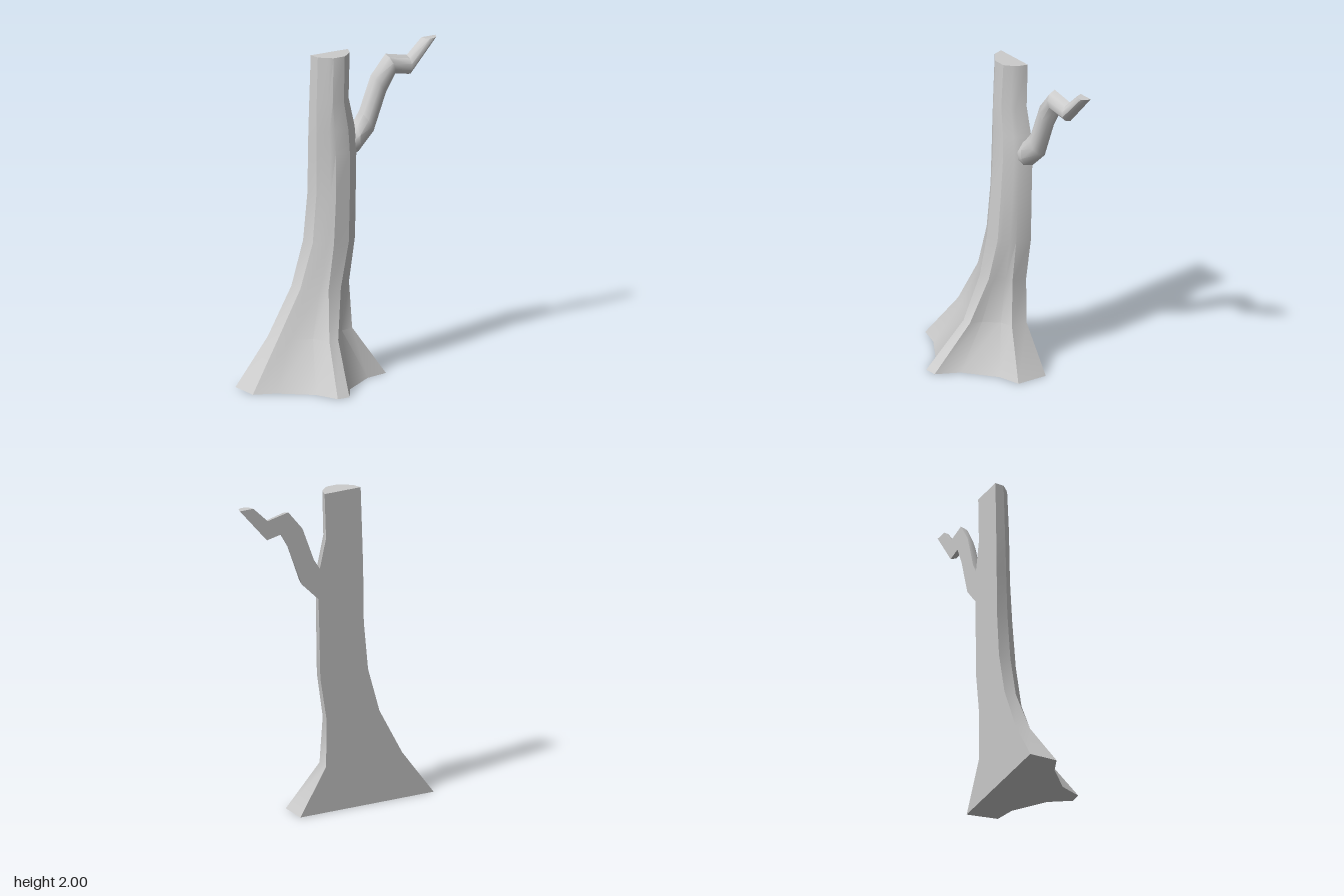
import * as THREE from 'three';
import { toCreasedNormals } from 'three/addons/utils/BufferGeometryUtils.js';

const BACK = -0.25; // the tree is cut flat along this plane
const { lerp } = THREE.MathUtils;

// Skin closed rings of [x, y, z] points, listed bottom to top, and cap both ends
function loft(rings, crease) {
  const n = rings[0].length;
  const index = [];
  for (let r = 0; r < rings.length - 1; r++) {
    for (let i = 0; i < n; i++) {
      const j = (i + 1) % n;
      const a = r * n + i, b = r * n + j;
      index.push(a, b, b + n, a, b + n, a + n);
    }
  }
  const cap = (r, flip) => {
    const outline = rings[r].map(([x, , z]) => new THREE.Vector2(x, -z));
    for (const [a, b, c] of THREE.ShapeUtils.triangulateShape(outline, [])) {
      const o = r * n;
      index.push(o + a, o + (flip ? c : b), o + (flip ? b : c));
    }
  };
  cap(0, true);
  cap(rings.length - 1, false);
  const geometry = new THREE.BufferGeometry();
  geometry.setAttribute('position', new THREE.Float32BufferAttribute(rings.flat(2), 3));
  geometry.setIndex(index);
  return toCreasedNormals(geometry, crease);
}

// Front outlines as fractions: across is left to right, out is back to front
const rootTips = {
  across: [0, 0.02, 0.16, 0.37, 0.45, 0.535, 0.62, 0.83, 0.98, 1],
  out: [0, 0.36, 0.45, 0.73, 1, 1, 0.73, 0.45, 0.39, 0],
};
const rootFlare = {
  across: [0, 0.02, 0.15, 0.39, 0.505, 0.617, 0.67, 0.82, 0.97, 1],
  out: [0, 0.37, 0.48, 0.67, 1, 1, 0.74, 0.44, 0.37, 0],
};
const stem = {
  across: [0, 0.06, 0.13, 0.27, 0.36, 0.66, 0.72, 0.83, 0.91, 1],
  out: [0, 0.51, 0.63, 0.87, 1, 1, 0.9, 0.7, 0.54, 0],
};

// Trunk sections: height, left x, right x, depth, and blend from root flare to stem
const trunkSections = [
  [0.285, -0.46, 0.075, 0.27, 0],
  [0.575, -0.30, 0.07, 0.18, 0.6],
  [0.85, -0.22, 0.115, 0.163, 1],
  [1.15, -0.19, 0.122, 0.15, 1],
  [1.4, -0.187, 0.13, 0.138, 1],
  [1.54, -0.184, 0.118, 0.133, 1],
  [1.72, -0.178, 0.075, 0.125, 1],
  [2, -0.168, 0.085, 0.117, 1],
];

function trunkRing(from, to, [y, left, right, depth, blend]) {
  return from.across.map((across, i) => [
    lerp(left, right, lerp(across, to.across[i], blend)),
    y,
    BACK + depth * lerp(from.out[i], to.out[i], blend),
  ]);
}

// Branch sections: upper x, y, lower x, y, and depth in front of the flat back
const branchSections = [
  [0.07, 1.50, 0.09, 1.33, 0.08],
  [0.12, 1.54, 0.13, 1.35, 0.085],
  [0.16, 1.60, 0.245, 1.46, 0.067],
  [0.24, 1.81, 0.33, 1.69, 0.065],
  [0.34, 1.93, 0.39, 1.80, 0.07],
  [0.485, 1.90, 0.49, 1.78, 0.062],
  [0.585, 1.995, 0.68, 1.995, 0.05],
];

// Half-round ring swept from the upper edge, over the front, to the lower edge
function branchRing([ux, uy, lx, ly, depth]) {
  const ring = [];
  const steps = 5;
  for (let i = 0; i <= steps; i++) {
    const angle = (i / steps) * Math.PI;
    const t = (1 - Math.cos(angle)) / 2;
    ring.push([lerp(ux, lx, t), lerp(uy, ly, t), BACK + depth * Math.sin(angle) * 1.05]);
  }
  return ring;
}

export function createModel() {
  const group = new THREE.Group();
  group.name = 'halfTree';
  const bark = new THREE.MeshStandardMaterial({ color: 0xcccccc });

  // Trunk with flared roots
  const trunkRings = [
    trunkRing(rootTips, rootFlare, [0, -0.68, 0.255, 0.5, 0]),
    ...trunkSections.map((section) => trunkRing(rootFlare, stem, section)),
  ];
  const trunk = new THREE.Mesh(loft(trunkRings, 0.6), bark);
  trunk.name = 'trunk';
  group.add(trunk);

  // Crooked side branch
  const branch = new THREE.Mesh(loft(branchSections.map(branchRing), 0.75), bark);
  branch.name = 'branch';
  group.add(branch);

  return group;
}
